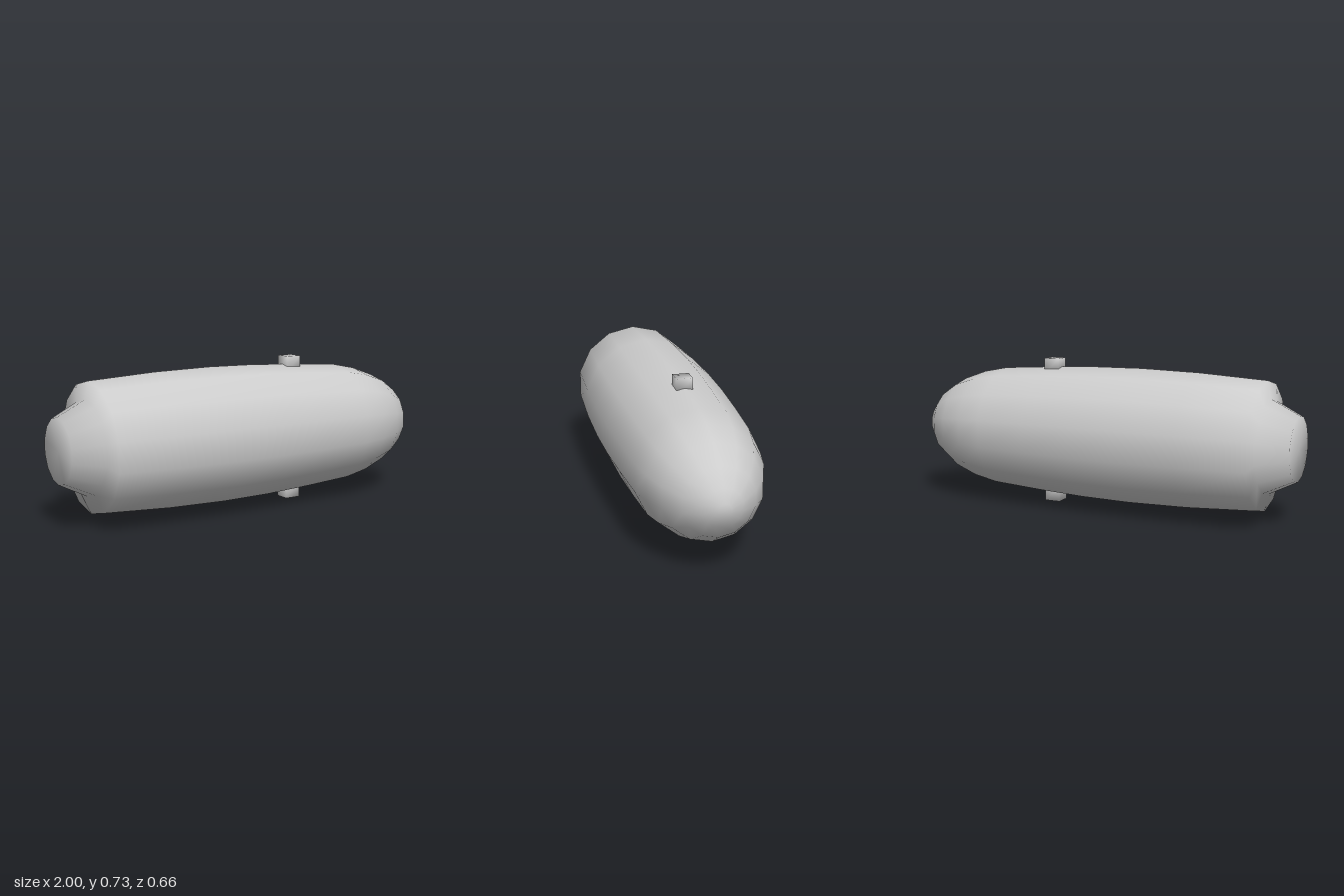
import * as THREE from 'three';
import { mergeVertices } from 'three/addons/utils/BufferGeometryUtils.js';

const CENTRE_Y = 0.367;

// Box with shared corners, so its normals are smooth
function softBox(size) {
  const box = new THREE.BoxGeometry(size, size, size);
  box.deleteAttribute('normal');
  box.deleteAttribute('uv');
  const soft = mergeVertices(box);
  soft.computeVertexNormals();
  return soft;
}

export function createModel() {
  const group = new THREE.Group();
  const grey = new THREE.MeshStandardMaterial({ color: 0xcccccc });
  grey.name = 'lightGrey';

  // Hull profile from tail to nose: [position along x, radius]
  const profile = [
    [-1, 0], [-1, 0.157], [-0.86, 0.227], [-0.843, 0.312],
    [-0.5, 0.331], [-0.2, 0.337], [0.05, 0.333], [0.3, 0.321], [0.56, 0.304],
    [0.69, 0.278], [0.81, 0.235], [0.91, 0.168], [0.975, 0.09], [1, 0.03], [1, 0],
  ].map(([x, r]) => new THREE.Vector2(r, x));

  // Fourteen-sided hull laid along x, with a corner line on top
  const hullShape = new THREE.LatheGeometry(profile, 14, Math.PI / 2);
  hullShape.rotateZ(-Math.PI / 2);
  const hull = new THREE.Mesh(hullShape, grey);
  hull.name = 'hull';
  hull.position.y = CENTRE_Y;
  group.add(hull);

  // Mounting lugs above and below the hull
  for (const [name, side] of [['topLug', 1], ['bottomLug', -1]]) {
    const lug = new THREE.Mesh(softBox(0.08), grey);
    lug.name = name;
    lug.position.set(0.277, CENTRE_Y + side * 0.327, 0);
    group.add(lug);
  }
  return group;
}
